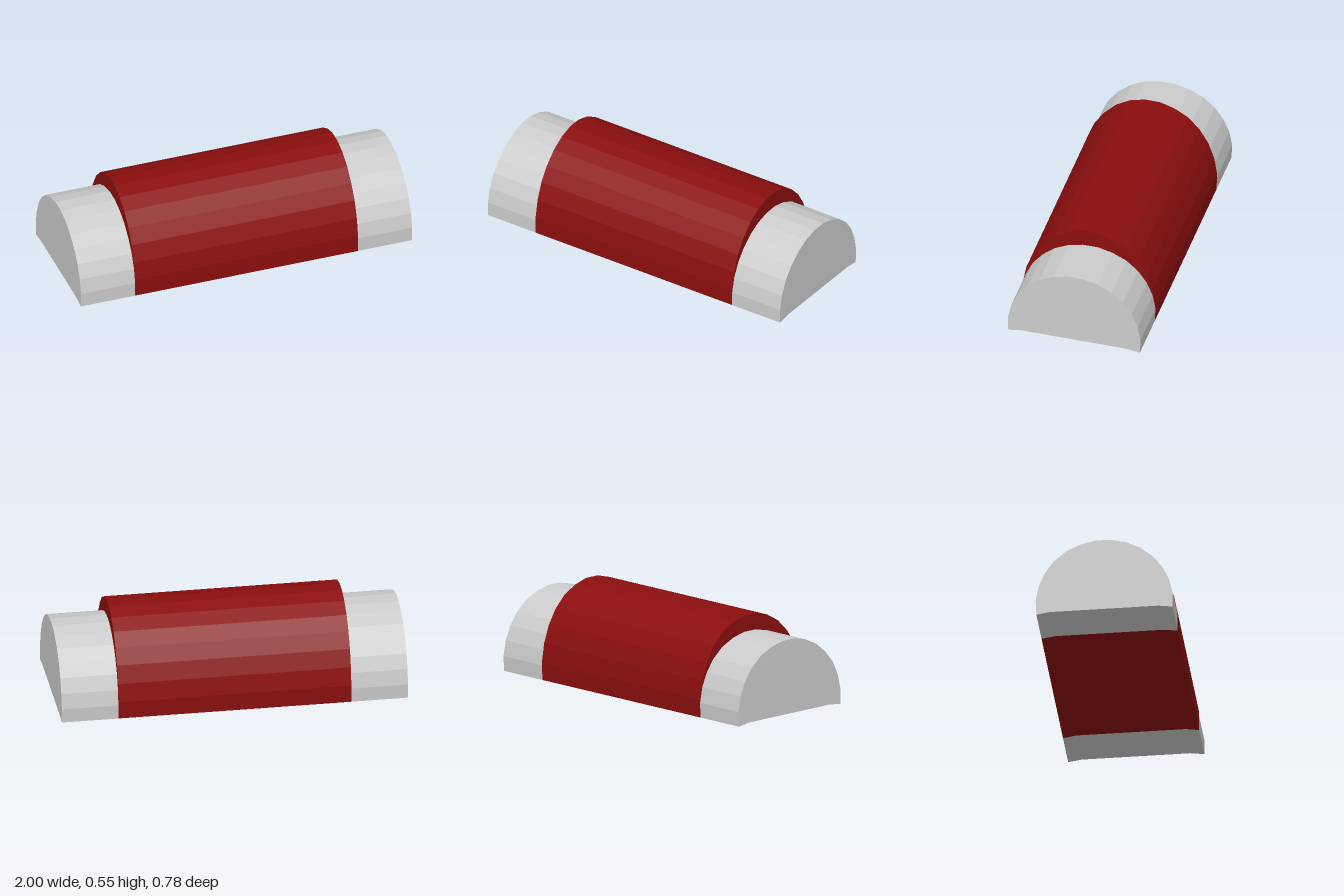
import * as THREE from 'three';

// Arched outline as [z, y], running from the front edge over the top to the back
const arch = [
  [0.393, 0.13], [0.373, 0.235], [0.334, 0.333], [0.277, 0.415], [0.206, 0.484],
  [0.125, 0.529], [0.037, 0.551], [-0.052, 0.549], [-0.137, 0.522], [-0.22, 0.473],
  [-0.287, 0.402], [-0.339, 0.315], [-0.374, 0.215], [-0.391, 0.107],
];
// Slightly tilted underside with chamfered long edges, from back to front
const base = [[-0.387, 0.002], [-0.31, 0.015], [0.313, 0.029], [0.393, 0.02]];

// Solid half-barrel between two x positions, with the arch scaled in height
function barrel(name, x0, x1, heightScale, material) {
  const outline = [...arch.map(([z, y]) => [z, y * heightScale]), ...base];
  const shape = new THREE.Shape(outline.map(([z, y]) => new THREE.Vector2(-z, y)));
  const geometry = new THREE.ExtrudeGeometry(shape, { depth: x1 - x0, bevelEnabled: false });
  geometry.rotateY(Math.PI / 2);
  geometry.translate(x0, 0, 0);
  const mesh = new THREE.Mesh(geometry, material);
  mesh.name = name;
  return mesh;
}

export function createModel() {
  const red = new THREE.MeshStandardMaterial({ color: 0x8b0e0e, flatShading: true });
  const grey = new THREE.MeshStandardMaterial({ color: 0xcccccc, flatShading: true });
  const half = 0.673;

  const model = new THREE.Group();
  model.name = 'halfBarrel';
  model.add(
    barrel('sleeve', -half, half, 1, red),
    barrel('rightEnd', -1, -half, 0.826, grey),
    barrel('leftEnd', half, 1, 0.826, grey),
  );
  return model;
}
